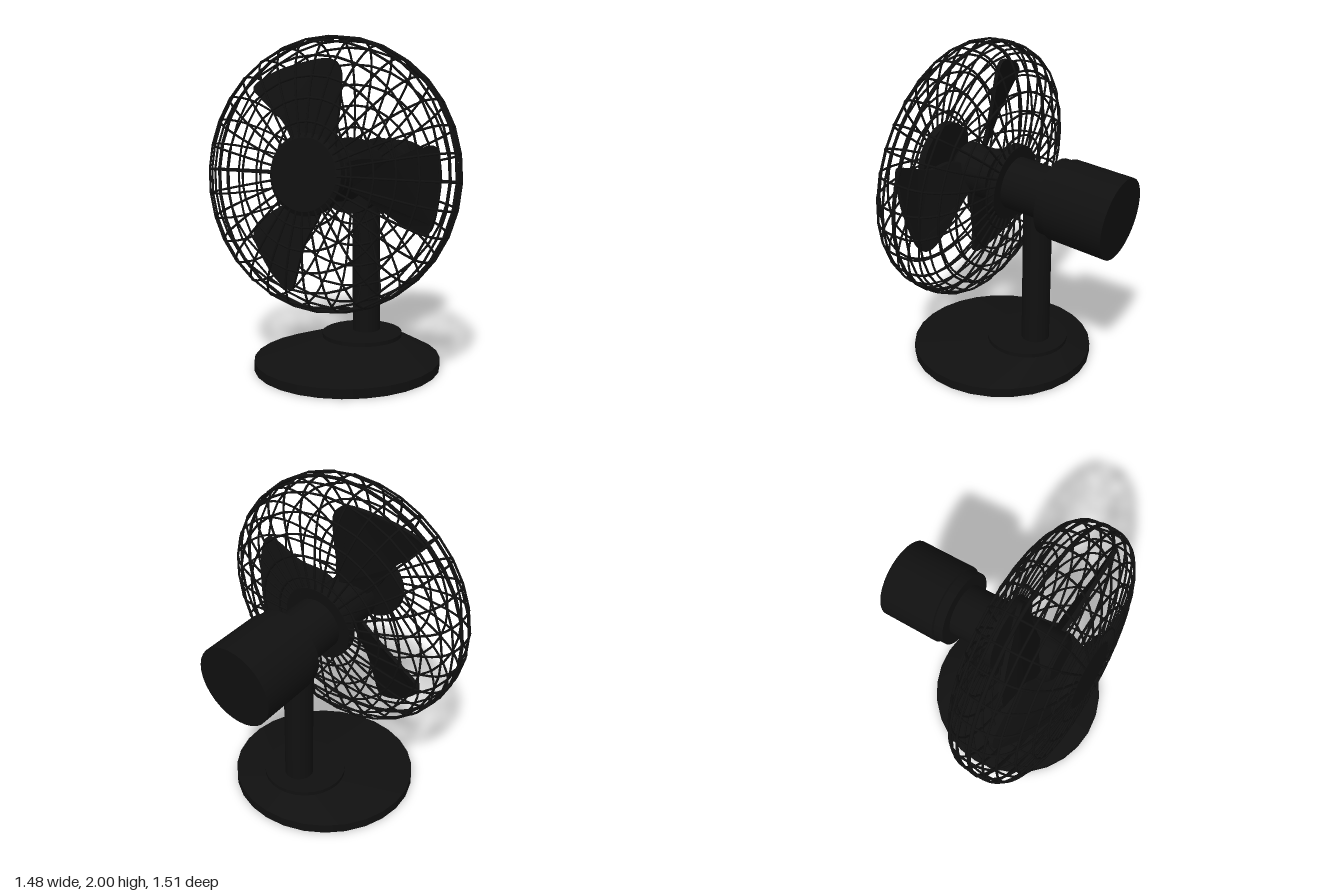
import * as THREE from 'three';

export function createModel() {
  const model = new THREE.Group();
  const material = new THREE.MeshStandardMaterial({ color: 0x101010 });

  function add(parent, name, geometry, x = 0, y = 0, z = 0) {
    const mesh = new THREE.Mesh(geometry, material);
    mesh.name = name;
    mesh.position.set(x, y, z);
    parent.add(mesh);
    return mesh;
  }

  // Solid turned around the head axis; profile is [radius, z] from rear to front
  function turned(parent, name, profile, segments = 32) {
    const geometry = new THREE.CylinderGeometry(1, 1, 1, segments, profile.length - 1);
    geometry.dispose();
    const group = new THREE.Group();
    group.name = name;
    parent.add(group);
    for (let i = 0; i < profile.length - 1; i++) {
      const [r0, z0] = profile[i], [r1, z1] = profile[i + 1];
      const section = new THREE.CylinderGeometry(r1, r0, z1 - z0, segments);
      section.rotateX(Math.PI / 2);
      add(group, name + 'Section', section, 0, 0, (z0 + z1) / 2);
    }
    return group;
  }

  // Base: round foot with a skewed cone rising to an off-centre collar
  const foot = { x: -0.08, z: -0.08 }, collar = { x: 0.095, z: -0.16 };
  add(model, 'baseRim', new THREE.CylinderGeometry(0.57, 0.57, 0.057, 28), foot.x, 0.0285, foot.z);
  const slope = new THREE.CylinderGeometry(0.252, 0.57, 0.083, 28);
  const sp = slope.attributes.position;
  for (let i = 0; i < sp.count; i++) {
    if (sp.getY(i) > 0) {
      sp.setX(i, sp.getX(i) + collar.x - foot.x);
      sp.setZ(i, sp.getZ(i) + collar.z - foot.z);
    }
  }
  slope.computeVertexNormals();
  add(model, 'baseSlope', slope, foot.x, 0.0985, foot.z);
  add(model, 'baseCollar', new THREE.CylinderGeometry(0.252, 0.252, 0.03, 28), collar.x, 0.15, collar.z);
  add(model, 'post', new THREE.CylinderGeometry(0.0875, 0.0875, 0.98, 24), 0.148, 0.65, -0.186);

  // Head: everything along the fan axis, local +z blows forward
  const head = new THREE.Group();
  head.name = 'head';
  head.position.set(-0.258, 1.2, 0);
  head.lookAt(-0.258 - 0.9, 1.2 + 0.105, 0.425);
  model.add(head);

  turned(head, 'motor', [[0.245, -0.985], [0.245, -0.62], [0.232, -0.615], [0.232, -0.555]]);
  turned(head, 'neck', [[0.16, -0.6], [0.16, -0.24]]);
  turned(head, 'shaft', [[0.05, -0.26], [0.05, -0.1]], 16);
  turned(head, 'hub', [[0.155, -0.17], [0.155, 0.07], [0.125, 0.1]], 24);
  turned(head, 'rearCap', [[0.23, -0.285], [0.23, -0.23]]);
  turned(head, 'frontCap', [[0.23, 0.225], [0.23, 0.27], [0.205, 0.285]]);

  // Blades: flared outline, bent so the pitch eases off toward the tip
  const outline = new THREE.Shape();
  outline.moveTo(-0.08, 0.1);
  outline.splineThru([
    [-0.13, 0.21], [-0.165, 0.39], [-0.25, 0.56], [-0.28, 0.645], [-0.19, 0.685],
    [-0.045, 0.695], [0.17, 0.665], [0.225, 0.59], [0.19, 0.46], [0.085, 0.2], [0.06, 0.1],
  ].map(([x, y]) => new THREE.Vector2(x, y)));
  outline.closePath();
  const blade = new THREE.ExtrudeGeometry(outline, { depth: 0.025, bevelEnabled: false, curveSegments: 36 });
  const bp = blade.attributes.position;
  for (let i = 0; i < bp.count; i++) {
    const w = bp.getX(i), r = bp.getY(i);
    bp.setZ(i, bp.getZ(i) - 0.0125 - w * (0.55 - 0.4 * r));
  }
  blade.computeVertexNormals();
  for (let i = 0; i < 3; i++) {
    const mesh = add(head, 'blade', blade, 0, 0, -0.01);
    mesh.rotation.z = THREE.MathUtils.degToRad(22 + i * 120);
  }

  // Guard: rings and ribs laid on a flattened rounded profile
  const guard = new THREE.Group();
  guard.name = 'guard';
  head.add(guard);
  function guardPoint(degrees) {
    const t = THREE.MathUtils.degToRad(degrees);
    const s = Math.sin(t);
    return {
      r: 0.792 * Math.pow(Math.cos(t), 2 / 3),
      z: 0.28 * Math.sign(s) * Math.pow(Math.abs(s), 2 / 3),
    };
  }
  const half = [9, 22, 40, 55, 67, 77];
  const stops = [...half.map((d) => -d).reverse(), 0, ...half];
  for (const d of stops) {
    const { r, z } = guardPoint(d);
    add(guard, 'guardRing', new THREE.TorusGeometry(r, d === 0 ? 0.011 : 0.007, 6, 32), 0, 0, z);
  }
  const ribPath = new THREE.CatmullRomCurve3([-83, ...stops, 83].map((d) => {
    const { r, z } = guardPoint(d);
    return new THREE.Vector3(r, 0, z);
  }));
  const rib = new THREE.TubeGeometry(ribPath, 36, 0.007, 5);
  const ribCount = 32;
  for (let i = 0; i < ribCount; i++) {
    add(guard, 'guardRib', rib).rotation.z = (i / ribCount) * Math.PI * 2;
  }

  return model;
}
